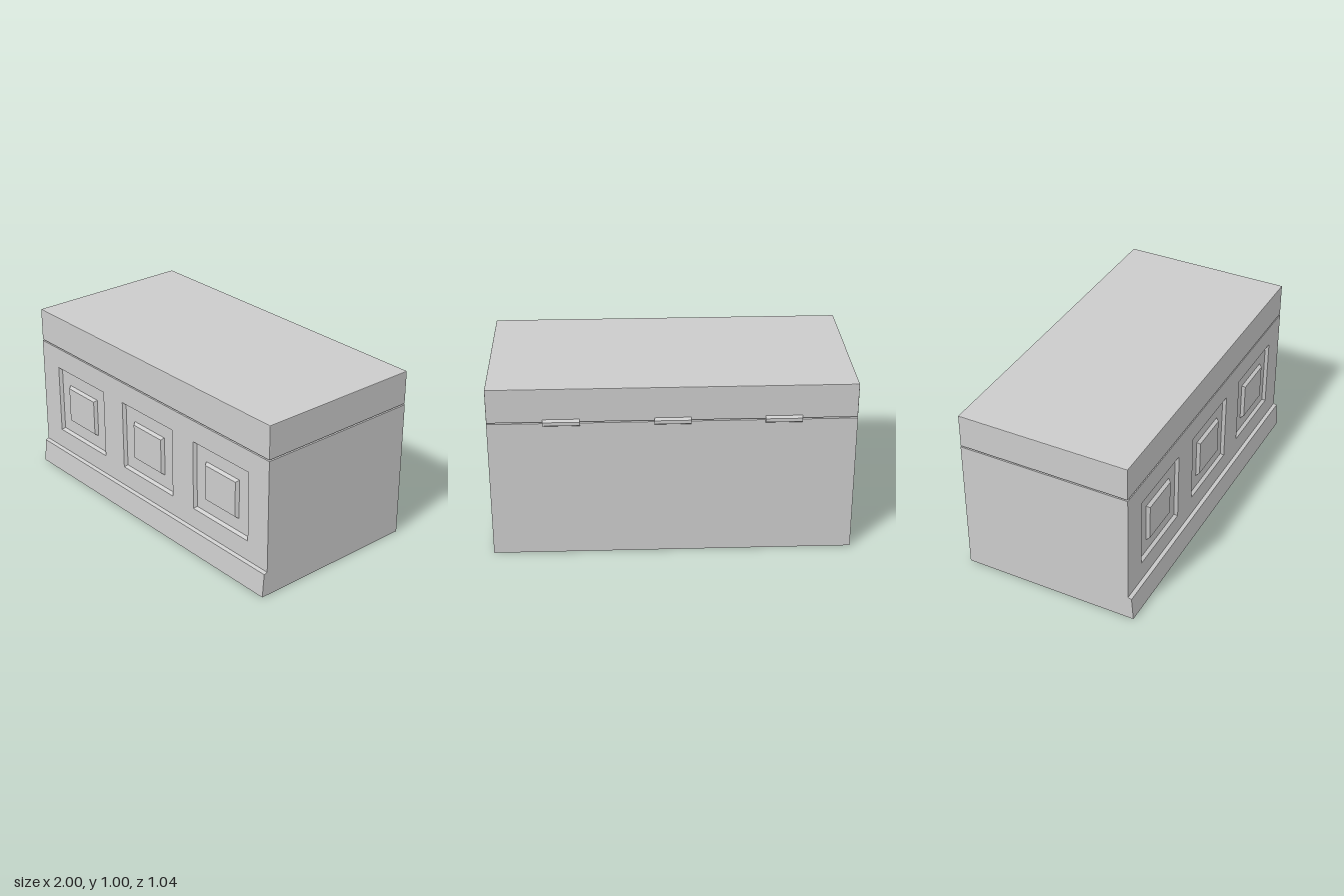
import * as THREE from 'three';
import { mergeGeometries } from 'three/addons/utils/BufferGeometryUtils.js';
import { RoundedBoxGeometry } from 'three/addons/geometries/RoundedBoxGeometry.js';

const FRONT = 0.49, BACK = -0.505, BODY_TOP = 0.799, LID_BOTTOM = 0.805, FLOOR = 0.182;
const SKIRT_TOP = 0.14, SKIRT_IN = 0.511, SKIRT_OUT = 0.522;
const material = new THREE.MeshStandardMaterial({ color: 0xcccccc, side: THREE.DoubleSide, flatShading: true });

function addMesh(group, name, geometry) {
  const mesh = new THREE.Mesh(geometry, material);
  mesh.name = name;
  group.add(mesh);
  return mesh;
}

// Flat four-cornered face, corners counter-clockwise as seen from its front
function quad(a, b, c, d) {
  const g = new THREE.BufferGeometry();
  g.setAttribute('position', new THREE.Float32BufferAttribute([a, b, c, a, c, d].flat(), 3));
  g.computeVertexNormals();
  return g;
}

// Full-width strip that joins two (z, y) profile points
const strip = ([z0, y0], [z1, y1]) => quad([-1, y0, z0], [1, y0, z0], [1, y1, z1], [-1, y1, z1]);

// Rectangular rings [width, height, z] joined with sloping faces and capped
function steppedPanel(rings) {
  const corners = rings.map(([w, h, z]) =>
    [[-1, -1], [1, -1], [1, 1], [-1, 1]].map(([x, y]) => [x * w / 2, y * h / 2, z]));
  const faces = [quad(...corners[corners.length - 1])];
  for (let r = 0; r < corners.length - 1; r++) {
    for (let i = 0; i < 4; i++) {
      const j = (i + 1) % 4;
      faces.push(quad(corners[r][i], corners[r][j], corners[r + 1][j], corners[r + 1][i]));
    }
  }
  return mergeGeometries(faces);
}

function rectangle(path, x0, y0, x1, y1) {
  return path.moveTo(x0, y0).lineTo(x1, y0).lineTo(x1, y1).lineTo(x0, y1).closePath();
}

export function createModel() {
  const chest = new THREE.Group();
  chest.name = 'chest';

  // Front wall with three openings, each filled by a recessed panel with a raised centre
  const panelX = [-0.623, 0, 0.623], panelY = 0.467, panelW = 0.445, panelH = 0.412;
  const wall = rectangle(new THREE.Shape(), -1, SKIRT_TOP, 1, BODY_TOP);
  const panelGeometry = steppedPanel([
    [panelW, panelH, 0], [panelW - 0.024, panelH - 0.024, -0.018],
    [0.266, 0.232, -0.018], [0.242, 0.208, 0],
  ]);
  for (const x of panelX) {
    wall.holes.push(rectangle(new THREE.Path(),
      x - panelW / 2, panelY - panelH / 2, x + panelW / 2, panelY + panelH / 2));
    addMesh(chest, 'frontPanel', panelGeometry).position.set(x, panelY, FRONT);
  }
  addMesh(chest, 'frontWall', new THREE.ShapeGeometry(wall)).position.z = FRONT;

  // Side walls follow the body profile, including the flared skirt
  const side = new THREE.Shape();
  [[BACK, 0], [SKIRT_OUT, 0], [SKIRT_IN, SKIRT_TOP - 0.003], [FRONT, SKIRT_TOP + 0.003],
    [FRONT, BODY_TOP], [BACK, BODY_TOP]].forEach(([z, y], i) => i ? side.lineTo(-z, y) : side.moveTo(-z, y));
  for (const s of [1, -1]) {
    const g = new THREE.ShapeGeometry(side).rotateY(Math.PI / 2);
    if (s < 0) g.setIndex([...g.index.array].reverse());
    addMesh(chest, s > 0 ? 'leftWall' : 'rightWall', g).position.x = s;
  }

  // Back wall, top closure and the floor raised above the open base
  addMesh(chest, 'backWall', strip([BACK, BODY_TOP], [BACK, 0]));
  addMesh(chest, 'bodyTop', strip([FRONT, BODY_TOP], [BACK, BODY_TOP]));
  addMesh(chest, 'floor', strip([BACK, FLOOR], [FRONT, FLOOR]));

  // Flared skirt along the front
  addMesh(chest, 'skirt', mergeGeometries([
    strip([SKIRT_OUT, 0], [SKIRT_IN, SKIRT_TOP - 0.003]),
    strip([SKIRT_IN, SKIRT_TOP - 0.003], [FRONT, SKIRT_TOP + 0.003]),
  ]));

  // Lid with finely bevelled edges, separated from the body by a narrow gap
  const lid = addMesh(chest, 'lid', new RoundedBoxGeometry(2, 1 - LID_BOTTOM, FRONT - BACK, 1, 0.004));
  lid.position.set(0, (1 + LID_BOTTOM) / 2, (FRONT + BACK) / 2);

  // Six-sided hinge barrels along the back
  const hinge = new THREE.CylinderGeometry(0.02, 0.02, 0.2, 6, 1, false, Math.PI / 6).rotateZ(Math.PI / 2);
  for (const x of [-0.6, 0, 0.6]) {
    addMesh(chest, 'hinge', hinge).position.set(x, 0.802, BACK);
  }
  return chest;
}
